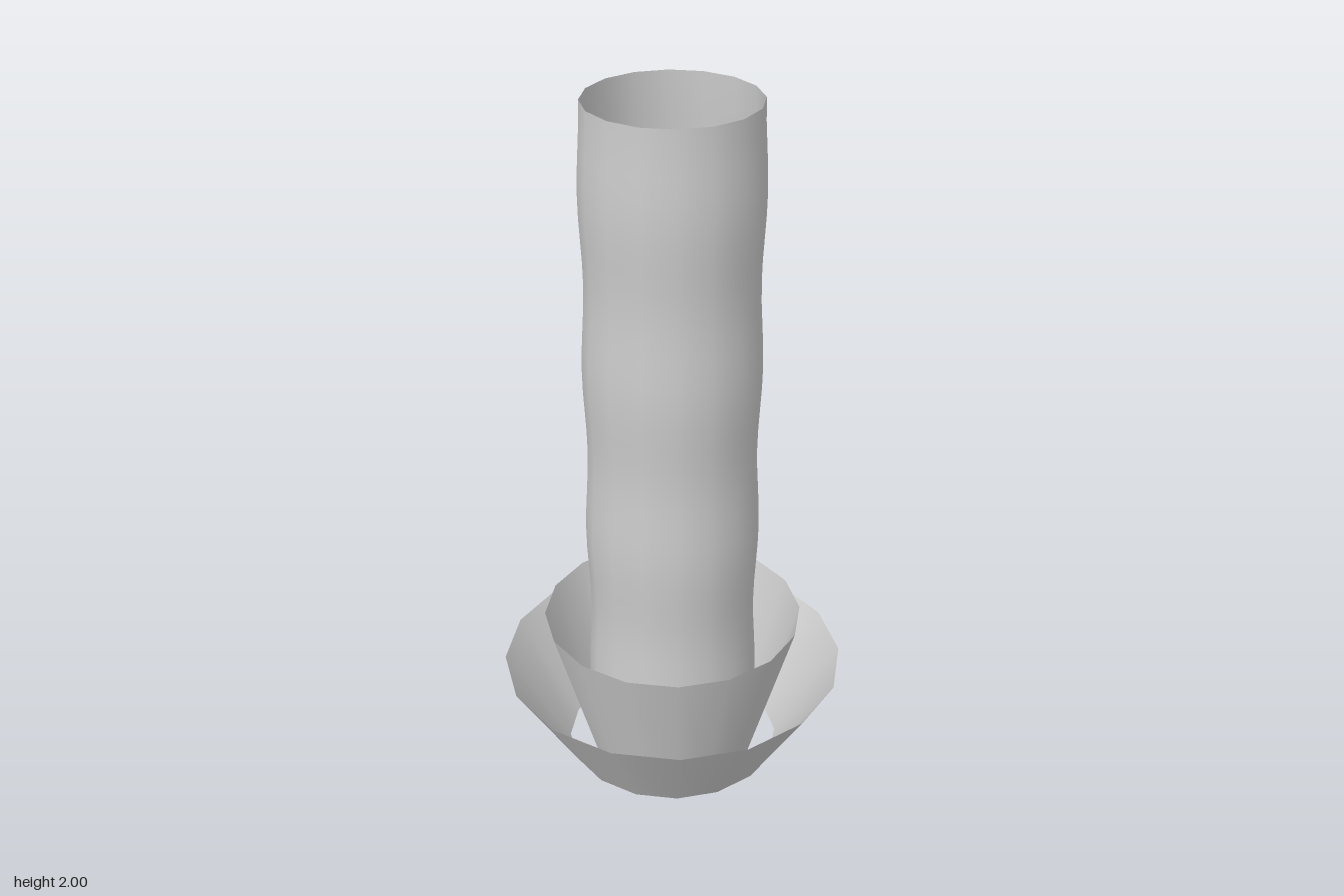
import * as THREE from 'three';

const SIDES = 16;

export function createModel() {
  const group = new THREE.Group();
  const material = new THREE.MeshStandardMaterial({ color: 0xcccccc, side: THREE.DoubleSide });

  // Open surface of revolution from [radius, height] pairs, bottom to top
  const addShell = (name, profile) => {
    const points = profile.map(([r, y]) => new THREE.Vector2(r, y));
    const mesh = new THREE.Mesh(new THREE.LatheGeometry(points, SIDES), material);
    mesh.name = name;
    group.add(mesh);
  };

  // Tall open tube with a gentle wave along its length
  const rows = 32;
  const tube = [];
  for (let i = 0; i <= rows; i++) {
    const y = (2 * i) / rows;
    tube.push([0.239 - 0.005 * Math.cos(y * Math.PI * 4), y]);
  }
  addShell('tube', tube);

  // Two nested flared collars, open at both ends
  addShell('innerCollar', [[0.237, 0.01], [0.37, 0.465]]);
  addShell('outerCollar', [[0.308, 0.02], [0.491, 0.312]]);

  return group;
}
